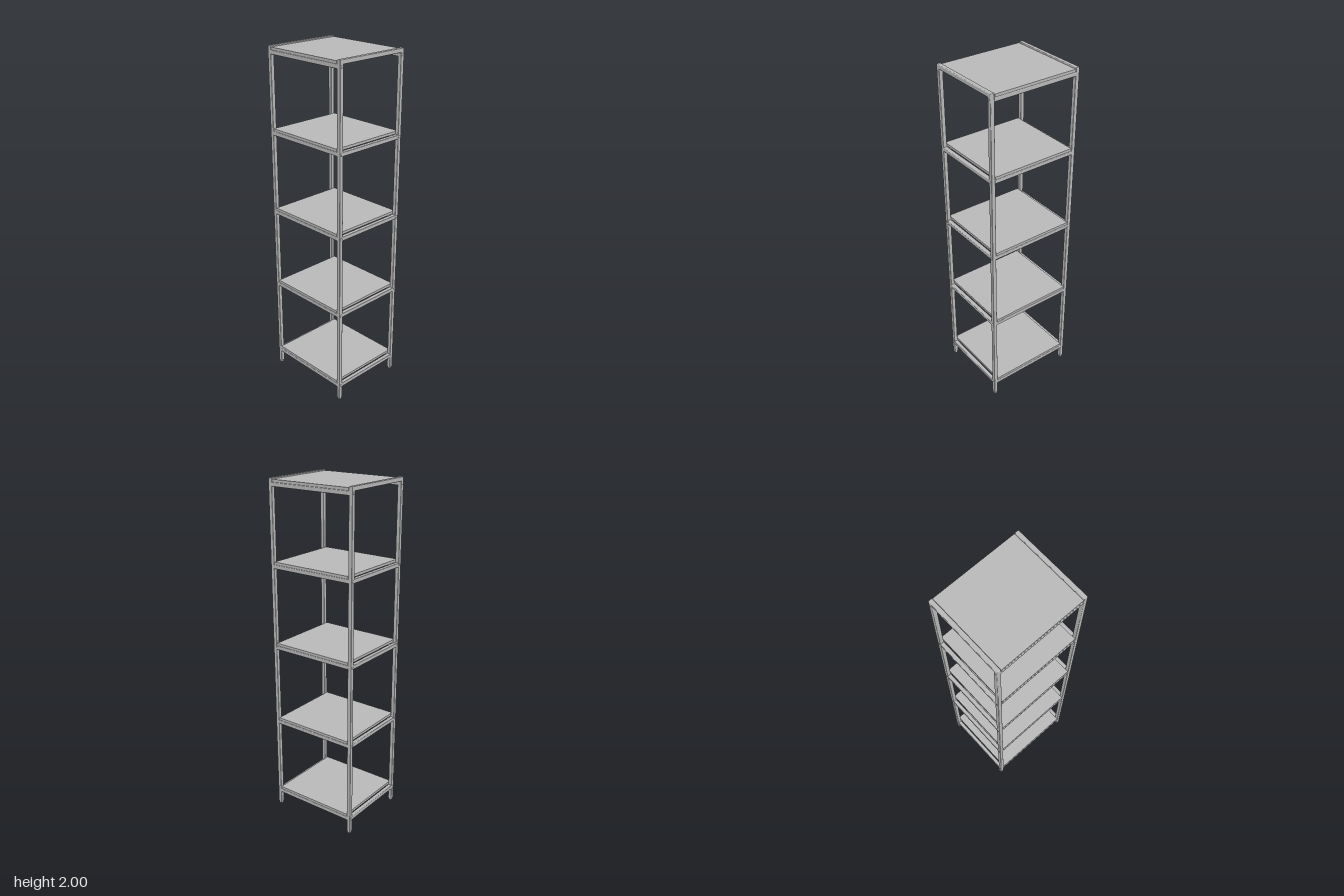
import * as THREE from 'three';
import { RoundedBoxGeometry } from 'three/addons/geometries/RoundedBoxGeometry.js';

const TUBE = 0.024;          // side of the square tubing
const POST_X = 0.263;        // post centre lines
const POST_Z = 0.221;
const TOP = 2;
const LEVELS = [0.098, 0.572, 1.046, 1.521, 1.966]; // rail centre heights

export function createModel() {
  const model = new THREE.Group();
  const steel = new THREE.MeshStandardMaterial({ color: 0xb8b8b8 });
  steel.name = 'grey steel';

  const add = (parent, name, geometry, x, y, z) => {
    const mesh = new THREE.Mesh(geometry, steel);
    mesh.name = name;
    mesh.position.set(x, y, z);
    parent.add(mesh);
    return mesh;
  };
  const tube = (w, h, d) => new RoundedBoxGeometry(w, h, d, 3, 0.004);

  // Shared geometries
  const footHeight = 0.012;
  const postGeo = tube(TUBE, TOP - footHeight, TUBE);
  const footGeo = tube(TUBE - 0.004, footHeight + 0.008, TUBE - 0.004);
  const sideGeo = tube(TUBE, TUBE, 2 * POST_Z - TUBE + 0.006);
  const topSideGeo = tube(TUBE, TUBE, 2 * POST_Z + TUBE);
  const crossGeo = tube(2 * POST_X - TUBE + 0.006, TUBE, TUBE);
  const panelGeo = new THREE.BoxGeometry(0.498, 0.015, 0.464);
  const boltGeo = new THREE.SphereGeometry(0.007, 16, 6, 0, Math.PI * 2, 0, Math.PI / 2);
  boltGeo.scale(1, 0.45, 1);

  // Two side frames: posts, feet, side rails and bolt heads
  for (const sx of [-1, 1]) {
    const frame = new THREE.Group();
    frame.name = sx > 0 ? 'leftFrame' : 'rightFrame';
    model.add(frame);
    for (const sz of [-1, 1]) {
      add(frame, 'post', postGeo, sx * POST_X, (TOP + footHeight) / 2, sz * POST_Z);
      add(frame, 'foot', footGeo, sx * POST_X, (footHeight + 0.008) / 2, sz * POST_Z);
      for (const y of LEVELS) {
        const bolt = add(frame, 'bolt', boltGeo, sx * (POST_X + TUBE / 2 - 0.0005), y, sz * POST_Z);
        bolt.rotation.z = -sx * Math.PI / 2;
      }
    }
    for (const y of LEVELS.slice(0, -1)) add(frame, 'sideRail', sideGeo, sx * POST_X, y, 0);
    add(frame, 'topSideRail', topSideGeo, sx * POST_X, TOP - TUBE / 2, 0);
  }

  // Shelves: a flat panel resting on a front and a back rail
  LEVELS.forEach((y, i) => {
    const shelf = new THREE.Group();
    shelf.name = `shelf${i + 1}`;
    model.add(shelf);
    for (const sz of [-1, 1]) add(shelf, sz > 0 ? 'frontRail' : 'backRail', crossGeo, 0, y, sz * POST_Z);
    add(shelf, 'panel', panelGeo, 0, y + TUBE / 2 + 0.0075, 0);
  });

  return model;
}
